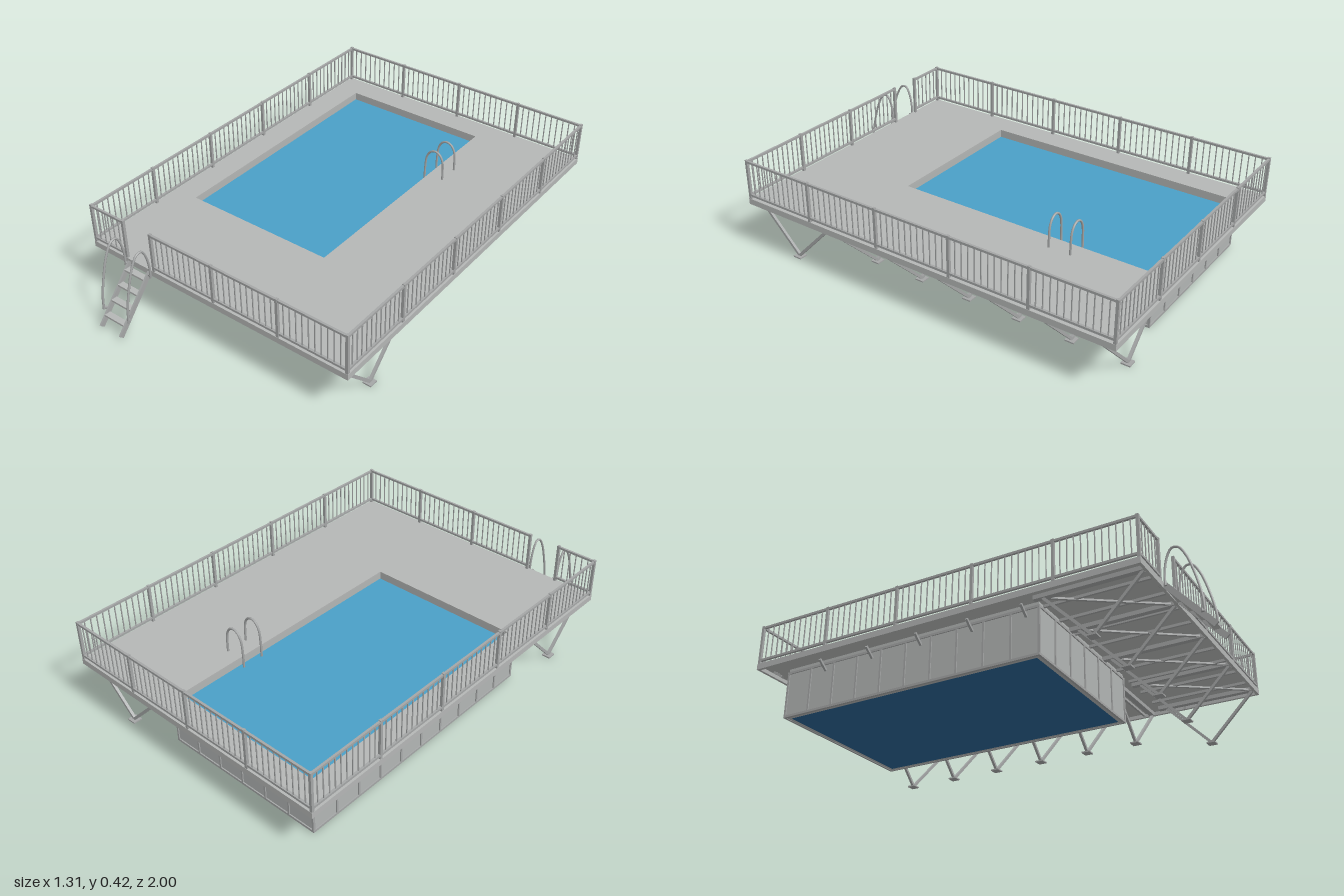
import * as THREE from 'three';

const mat = (name, color, side = THREE.FrontSide) => {
  const m = new THREE.MeshStandardMaterial({ color, side });
  m.name = name;
  return m;
};

export function createModel() {
  const deckGrey = mat('deck grey', 0xb4b6b5);
  const panelGrey = mat('panel grey', 0xb2b5b4);
  const steel = mat('steel', 0xa4a6a6);
  const waterBlue = mat('water blue', 0x4a9fc6);
  const linerBlue = mat('liner blue', 0x2a6290);

  const model = new THREE.Group();
  model.name = 'raisedPoolDeck';
  const group = (name) => {
    const g = new THREE.Group();
    g.name = name;
    model.add(g);
    return g;
  };
  const add = (parent, name, geometry, material) => {
    const m = new THREE.Mesh(geometry, material);
    m.name = name;
    parent.add(m);
    return m;
  };
  // Box given by its minimum and maximum corners
  const box = (parent, name, material, x0, x1, y0, y1, z0, z1) =>
    add(parent, name, new THREE.BoxGeometry(x1 - x0, y1 - y0, z1 - z0), material)
      .position.set((x0 + x1) / 2, (y0 + y1) / 2, (z0 + z1) / 2);
  // Square bar between two points
  const bar = (parent, name, a, b, w, h = w) => {
    const p = new THREE.Vector3(...a), q = new THREE.Vector3(...b);
    const m = add(parent, name, new THREE.BoxGeometry(w, h, p.distanceTo(q)), steel);
    m.position.copy(p).lerp(q, 0.5);
    m.lookAt(q);
  };
  const tube = (parent, name, points, r) => {
    const curve = new THREE.CatmullRomCurve3(points.map((p) => new THREE.Vector3(...p)));
    add(parent, name, new THREE.TubeGeometry(curve, 40, r, 8), steel);
  };

  // Deck slab with the pool opening
  const X = 0.657, Z0 = -1, Z1 = 0.8;
  const P = { x0: -0.54, x1: 0.175, z0: -0.88, z1: 0.315 };
  const rect = (path, x0, x1, z0, z1) =>
    path.moveTo(x0, z0).lineTo(x1, z0).lineTo(x1, z1).lineTo(x0, z1).closePath();
  const slab = rect(new THREE.Shape(), -X, X, Z0, Z1);
  slab.holes.push(rect(new THREE.Path(), P.x0, P.x1, P.z0, P.z1));
  const slabGeo = new THREE.ExtrudeGeometry(slab, { depth: 0.01, bevelEnabled: false });
  slabGeo.rotateX(Math.PI / 2).translate(0, 0.242, 0);
  const deck = group('deck');
  add(deck, 'deckSlab', slabGeo, deckGrey);
  for (const s of [-1, 1]) {
    const x = s * (X - 0.006);
    box(deck, 'sideFascia', deckGrey, x - 0.006, x + 0.006, 0.215, 0.232, Z0, Z1);
    const z = s < 0 ? Z0 + 0.006 : Z1 - 0.006;
    box(deck, 'endFascia', deckGrey, -X + 0.012, X - 0.012, 0.215, 0.232, z - 0.006, z + 0.006);
  }

  // Pool shell: walls, framing, floor and water
  const pool = group('pool');
  const t = 0.02, top = 0.232, base = 0.006;
  const O = { x0: P.x0 - t, x1: P.x1 + t, z0: P.z0 - t, z1: P.z1 + t };
  box(pool, 'rightWall', panelGrey, O.x0, P.x0, base, top, O.z0, O.z1);
  box(pool, 'leftWall', panelGrey, P.x1, O.x1, base, top, O.z0, O.z1);
  box(pool, 'backWall', panelGrey, P.x0, P.x1, base, top, O.z0, P.z0);
  box(pool, 'frontWall', panelGrey, P.x0, P.x1, base, top, P.z1, O.z1);
  box(pool, 'poolFloor', linerBlue, P.x0, P.x1, base, 0.012, P.z0, P.z1);
  box(pool, 'water', waterBlue, P.x0, P.x1, 0.198, 0.205, P.z0, P.z1);
  const f = 0.005;
  for (const y of [0.004, 0.207]) {
    for (const x of [O.x0, O.x1])
      box(pool, 'wallRail', steel, x - f, x + f, y, y + 0.01, O.z0 - f, O.z1 + f);
    for (const z of [O.z0, O.z1])
      box(pool, 'wallRail', steel, O.x0, O.x1, y, y + 0.01, z - f, z + f);
  }
  for (let i = 0; i <= 6; i++) {
    const x = O.x0 + (O.x1 - O.x0) * i / 6;
    for (const z of [O.z0, O.z1])
      box(pool, 'wallStud', steel, x - 0.004, x + 0.004, base, 0.215, z - f, z + f);
  }
  for (let i = 1; i < 10; i++) {
    const z = O.z0 + (O.z1 - O.z0) * i / 10;
    for (const x of [O.x0, O.x1])
      box(pool, 'wallStud', steel, x - f, x + f, base, 0.215, z - 0.004, z + 0.004);
  }

  // V-shaped supports, short brackets and joists under the deck
  const frame = group('supportFrame');
  const foot = (x, z) => box(frame, 'footPlate', steel, x - 0.02, x + 0.02, 0, 0.006, z - 0.02, z + 0.02);
  const legX = [-0.6, -0.303, 0, 0.3, 0.6];
  const legZ = [0.28, 0.036, -0.208, -0.452, -0.696, -0.94];
  for (const x of legX) {
    foot(x, 0.58);
    for (const z of [0.785, 0.375]) bar(frame, 'frontStrut', [x, 0.006, 0.58], [x, 0.215, z], 0.012);
    box(frame, 'frontBeam', steel, x - 0.012, x + 0.012, 0.214, 0.232, O.z1, Z1 - 0.012);
    if (x < 0.2) bar(frame, 'backBracket', [x, 0.18, O.z0], [x, 0.215, -0.95], 0.01);
  }
  for (const z of legZ) {
    foot(0.435, z);
    for (const x of [0.645, 0.23]) bar(frame, 'sideStrut', [0.435, 0.006, z], [x, 0.215, z], 0.012);
    box(frame, 'sideBeam', steel, O.x1, X - 0.012, 0.214, 0.232, z - 0.012, z + 0.012);
    if (z > -0.9) bar(frame, 'sideBracket', [O.x0, 0.18, z], [-0.605, 0.215, z], 0.01);
  }
  // Lighter joists midway between the beams
  for (let i = 0; i < 9; i++) {
    const x = -0.525 + i * 0.131;
    box(frame, 'frontJoist', steel, x - 0.005, x + 0.005, 0.22, 0.232, O.z1, Z1 - 0.012);
  }
  for (let i = 0; i < 11; i++) {
    const z = 0.24 - i * 0.1222;
    box(frame, 'sideJoist', steel, O.x1, X - 0.012, 0.22, 0.232, z - 0.005, z + 0.005);
  }
  // Flat diagonal bracing in the wide strips
  for (let i = 0; i < 5; i++)
    bar(frame, 'sideBrace', [0.21, 0.222, legZ[i]], [0.64, 0.222, legZ[i + 1]], 0.012, 0.008);
  for (let i = 0; i < 4; i++)
    bar(frame, 'frontBrace', [legX[i], 0.222, 0.36], [legX[i + 1], 0.222, 0.78], 0.012, 0.008);

  // Railing around the deck; each run lists its post positions
  const railing = group('railing');
  const E = 0.65, zb = Z0 + 0.007, zf = Z1 - 0.007;
  const post = (x, z) => box(railing, 'post', steel, x - 0.006, x + 0.006, 0.215, 0.425, z - 0.006, z + 0.006);
  const run = (alongX, fixed, stops) => {
    const put = (name, a, b, y0, y1, w) => alongX
      ? box(railing, name, steel, a, b, y0, y1, fixed - w, fixed + w)
      : box(railing, name, steel, fixed - w, fixed + w, y0, y1, a, b);
    stops.forEach((s) => (alongX ? post(s, fixed) : post(fixed, s)));
    for (let i = 0; i + 1 < stops.length; i++) {
      const a = stops[i], b = stops[i + 1], n = Math.round((b - a) / 0.03);
      put('topRail', a, b, 0.412, 0.422, 0.005);
      put('bottomRail', a, b, 0.254, 0.264, 0.005);
      for (let k = 1; k < n; k++) {
        const c = a + (b - a) * k / n;
        put('baluster', c - 0.002, c + 0.002, 0.262, 0.414, 0.002);
      }
    }
  };
  const sideStops = [zb, -0.635, -0.275, 0.085, 0.445, zf];
  run(false, -E, sideStops);
  run(false, E, sideStops);
  run(true, zb, [-E, -0.325, 0, 0.325, E]);
  run(true, zf, [-E, -0.467]);
  run(true, zf, [-0.314, 0.007, 0.33, E]);

  // Entry stairs with curved handrails
  const stairs = group('entryStairs');
  for (const x of [-0.447, -0.335])
    bar(stairs, 'stringer', [x, 0.232, 0.8], [x, 0.016, 0.99], 0.008, 0.024);
  for (let i = 0; i < 4; i++) {
    const y = 0.205 - i * 0.05, z = 0.824 + i * 0.044;
    box(stairs, 'tread', deckGrey, -0.445, -0.337, y, y + 0.009, z - 0.014, z + 0.014);
  }
  for (const [x, inner] of [[-0.463, -0.447], [-0.319, -0.335]]) {
    tube(stairs, 'handrail', [[x, 0.075, 0.955], [x, 0.14, 0.95], [x, 0.23, 0.93], [x, 0.32, 0.9],
      [x, 0.365, 0.87], [x, 0.368, 0.845], [x, 0.335, 0.825], [x, 0.27, 0.812], [x, 0.215, 0.812]], 0.005);
    bar(stairs, 'lowerClip', [x, 0.08, 0.95], [inner, 0.08, 0.94], 0.01);
    bar(stairs, 'upperClip', [x, 0.225, 0.812], [inner, 0.225, 0.808], 0.01);
  }

  // Pair of grab hoops at the pool edge
  const hoops = group('poolGrabRails');
  for (const z of [-0.565, -0.465]) {
    tube(hoops, 'grabRail', [[0.155, 0.2, z], [0.155, 0.27, z], [0.162, 0.335, z], [0.18, 0.364, z],
      [0.203, 0.373, z], [0.226, 0.364, z], [0.243, 0.335, z], [0.248, 0.27, z], [0.248, 0.24, z]], 0.005);
  }
  return model;
}
